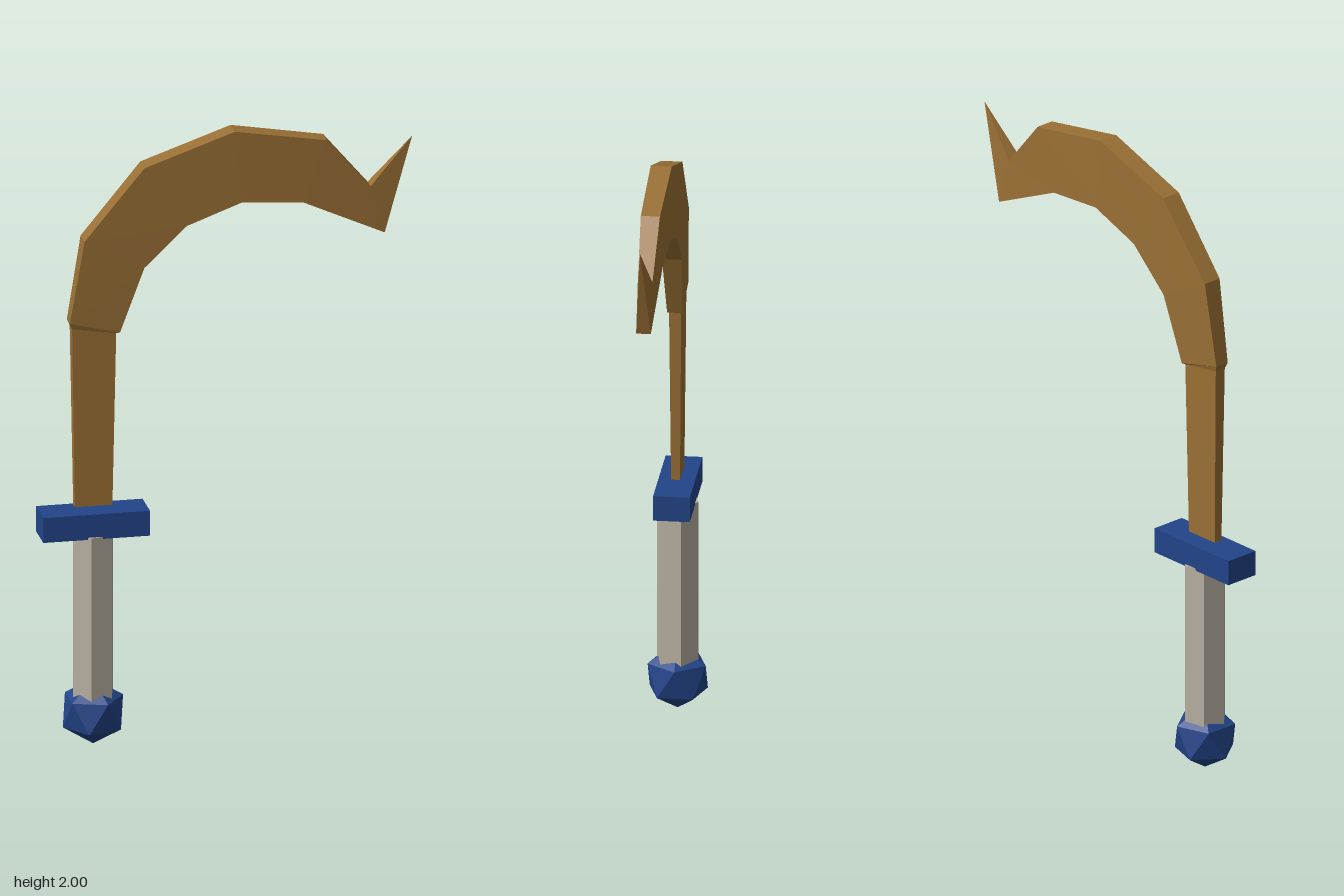
import * as THREE from 'three';
import { ConvexGeometry } from 'three/addons/geometries/ConvexGeometry.js';

const bronze = new THREE.MeshStandardMaterial({ color: 0x9a7035 });
bronze.name = 'bronze';
const blue = new THREE.MeshStandardMaterial({ color: 0x224488 });
blue.name = 'blue';
const bone = new THREE.MeshStandardMaterial({ color: 0xb8b0a2 });
bone.name = 'bone';

const AXIS_X = -0.427; // centre line of the handle

// Facets a geometry: separate triangles with their own normals
function faceted(geometry) {
  const g = geometry.index ? geometry.toNonIndexed() : geometry;
  g.computeVertexNormals();
  return g;
}

// Joins rectangular sections [outerX, outerY, innerX, innerY, halfThickness]
function bladeGeometry(sections) {
  const positions = [];
  const index = [];
  sections.forEach(([ox, oy, ix, iy, h], s) => {
    positions.push(ox, oy, h, ix, iy, h, ix, iy, -h, ox, oy, -h);
    if (s === 0) return;
    const lo = (s - 1) * 4;
    const hi = s * 4;
    for (let j = 0; j < 4; j++) {
      const k = (j + 1) % 4;
      index.push(lo + j, lo + k, hi + k, lo + j, hi + k, hi + j);
    }
  });
  index.push(0, 3, 2, 0, 2, 1); // heel cap
  const g = new THREE.BufferGeometry();
  g.setAttribute('position', new THREE.Float32BufferAttribute(positions, 3));
  g.setIndex(index);
  return faceted(g);
}

// Twenty-sided knob standing on one point
function pommelGeometry(r) {
  const points = [new THREE.Vector3(0, r, 0), new THREE.Vector3(0, -r, 0)];
  const ring = r * 2 / Math.sqrt(5);
  for (let i = 0; i < 5; i++) {
    const a = i * Math.PI * 2 / 5;
    const x = ring * Math.cos(a);
    const z = ring * Math.sin(a);
    points.push(new THREE.Vector3(x, ring / 2, z), new THREE.Vector3(-x, -ring / 2, z));
  }
  return new ConvexGeometry(points);
}

export function createModel() {
  const model = new THREE.Group();
  model.name = 'sickleSword';

  function add(name, geometry, material, x = 0, y = 0) {
    const mesh = new THREE.Mesh(geometry, material);
    mesh.name = name;
    mesh.position.set(x, y, 0);
    model.add(mesh);
  }

  // Handle
  add('pommel', pommelGeometry(0.107), blue, AXIS_X, 0.109);
  const grip = new THREE.CylinderGeometry(0.07, 0.07, 0.59, 6, 1, false, Math.PI / 4);
  add('grip', faceted(grip), bone, AXIS_X, 0.407);
  add('guard', new THREE.BoxGeometry(0.339, 0.082, 0.115), blue, AXIS_X, 0.736);

  // Straight shank, shoulder, hooked curve and pointed barb
  add('blade', bladeGeometry([
    [-0.487, 0.79, -0.368, 0.79, 0.014],
    [-0.497, 1.38, -0.357, 1.358, 0.019],
    [-0.505, 1.40, -0.346, 1.36, 0.024],
    [-0.46, 1.67, -0.27, 1.57, 0.031],
    [-0.27, 1.90, -0.135, 1.70, 0.033],
    [0.017, 2.00, 0.04, 1.765, 0.033],
    [0.31, 1.95, 0.235, 1.75, 0.03],
    [0.45, 1.785, 0.495, 1.63, 0.023],
    [0.587, 1.935, 0.587, 1.935, 0],
  ]), bronze);

  return model;
}
